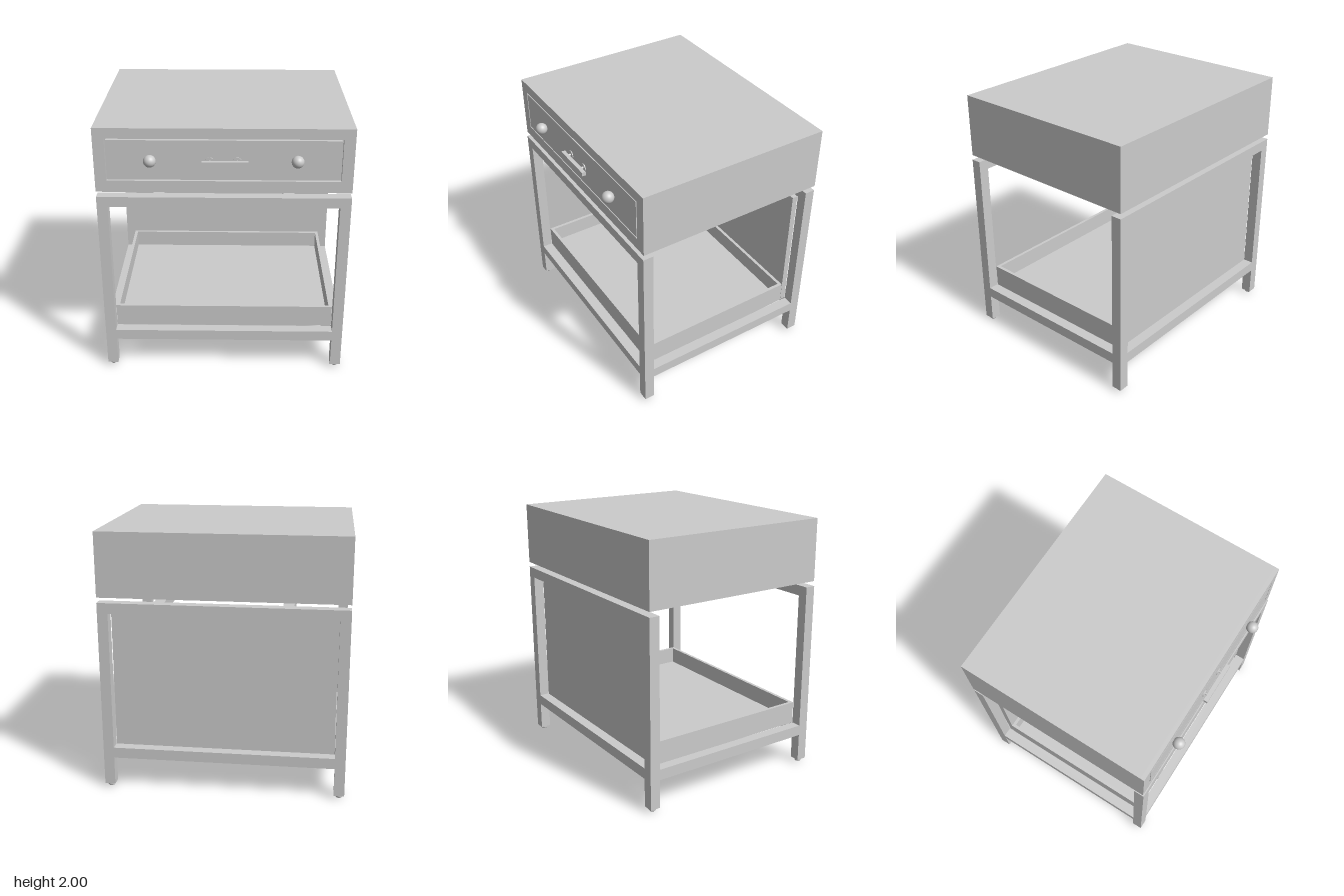
import * as THREE from 'three';

export function createModel() {
  const model = new THREE.Group();
  const grey = new THREE.MeshStandardMaterial({ color: 0xcccccc });

  function add(name, geometry, x = 0, y = 0, z = 0) {
    const mesh = new THREE.Mesh(geometry, grey);
    mesh.name = name;
    mesh.position.set(x, y, z);
    model.add(mesh);
    return mesh;
  }
  // Box given by its limits on each axis
  const box = (name, x0, x1, y0, y1, z0, z1) =>
    add(name, new THREE.BoxGeometry(x1 - x0, y1 - y0, z1 - z0),
      (x0 + x1) / 2, (y0 + y1) / 2, (z0 + z1) / 2);

  function rectangle(target, x0, x1, y0, y1) {
    target.moveTo(x0, y0).lineTo(x1, y0).lineTo(x1, y1).lineTo(x0, y1).closePath();
    return target;
  }
  // Rectangular ring extruded along z
  function ring(outer, inner, depth) {
    const shape = rectangle(new THREE.Shape(), ...outer);
    shape.holes.push(rectangle(new THREE.Path(), ...inner));
    return new THREE.ExtrudeGeometry(shape, { depth, bevelEnabled: false });
  }

  const W = 0.925, F = 0.715, B = -0.795, T = 0.08;   // half width, front, back, tube size

  // Drawer cabinet with a shadow gap around the drawer front
  box('cabinetBody', -W, W, 1.515, 2, B, 0.68);
  add('cabinetFrontFrame', ring([-W, W, 1.515, 2], [-0.842, 0.842, 1.603, 1.922], 0.03), 0, 0, 0.68);
  box('drawerFront', -0.832, 0.832, 1.613, 1.912, 0.68, 0.71);

  // Round knobs
  for (const s of [-1, 1]) add('knob', new THREE.SphereGeometry(0.045, 32, 20), s * 0.522, 1.77, 0.75);

  // Bar handle on two flanged stems
  box('handleBar', -0.155, 0.173, 1.74, 1.77, 0.735, 0.765);
  for (const x of [-0.1, 0.097]) {
    add('handleStem', new THREE.CylinderGeometry(0.009, 0.009, 0.03, 16), x, 1.757, 0.724).rotation.x = Math.PI / 2;
    add('handleFlange', new THREE.CylinderGeometry(0.03, 0.03, 0.007, 24), x, 1.757, 0.7135).rotation.x = Math.PI / 2;
  }

  // Spacer plate between the cabinet and the stand
  box('spacerPlate', -0.515, 0.515, 1.475, 1.515, -0.615, 0.6);

  // Hollow levelling foot profile
  const footProfile = [[0.012, 0.02], [0.012, 0], [0.021, 0], [0.025, 0.005], [0.025, 0.03]]
    .map(([r, y]) => new THREE.Vector2(r, y));

  // Posts and feet
  for (const sx of [-1, 1]) {
    for (const z0 of [B, F - T]) {
      const x = sx * (W - T / 2), z = z0 + T / 2;
      box('post', x - T / 2, x + T / 2, 0.025, 1.475, z0, z0 + T);
      const foot = add('foot', new THREE.LatheGeometry(footProfile, 20), x, 0, z);
      foot.material = grey.clone();
      foot.material.side = THREE.DoubleSide;
      foot.material.flatShading = true;
    }
  }

  // Front and back rails, top and bottom
  for (const z0 of [B, F - T]) {
    box('topRail', -W + T, W - T, 1.395, 1.475, z0, z0 + T);
    box('bottomRail', -W + T, W - T, 0.247, 0.33, z0, z0 + T);
  }
  // Bottom side rails and inset cross bars
  for (const s of [-1, 1]) {
    const rail = s * (W - T / 2), bar = s * 0.475;
    box('bottomSideRail', rail - T / 2, rail + T / 2, 0.247, 0.33, B + T, F - T);
    box('bottomCrossBar', bar - T / 2, bar + T / 2, 0.247, 0.33, B + T, F - T);
    box('topCrossBar', bar - T / 2, bar + T / 2, 1.395, 1.475, B + T, F - T);
  }

  // Back panel just inside the rear posts
  box('backPanel', -0.84, 0.84, 0.33, 1.395, -0.715, -0.67);

  // Open tray on the bottom rails
  const wall = 0.025;
  const trayWalls = add('trayWalls', ring([-0.843, 0.843, -0.632, 0.665],
    [-0.843 + wall, 0.843 - wall, -0.632 + wall, 0.665 - wall], 0.175), 0, 0.33, 0);
  trayWalls.rotation.x = -Math.PI / 2;
  box('trayFloor', -0.83, 0.83, 0.331, 0.37, -0.65, 0.62);

  return model;
}
